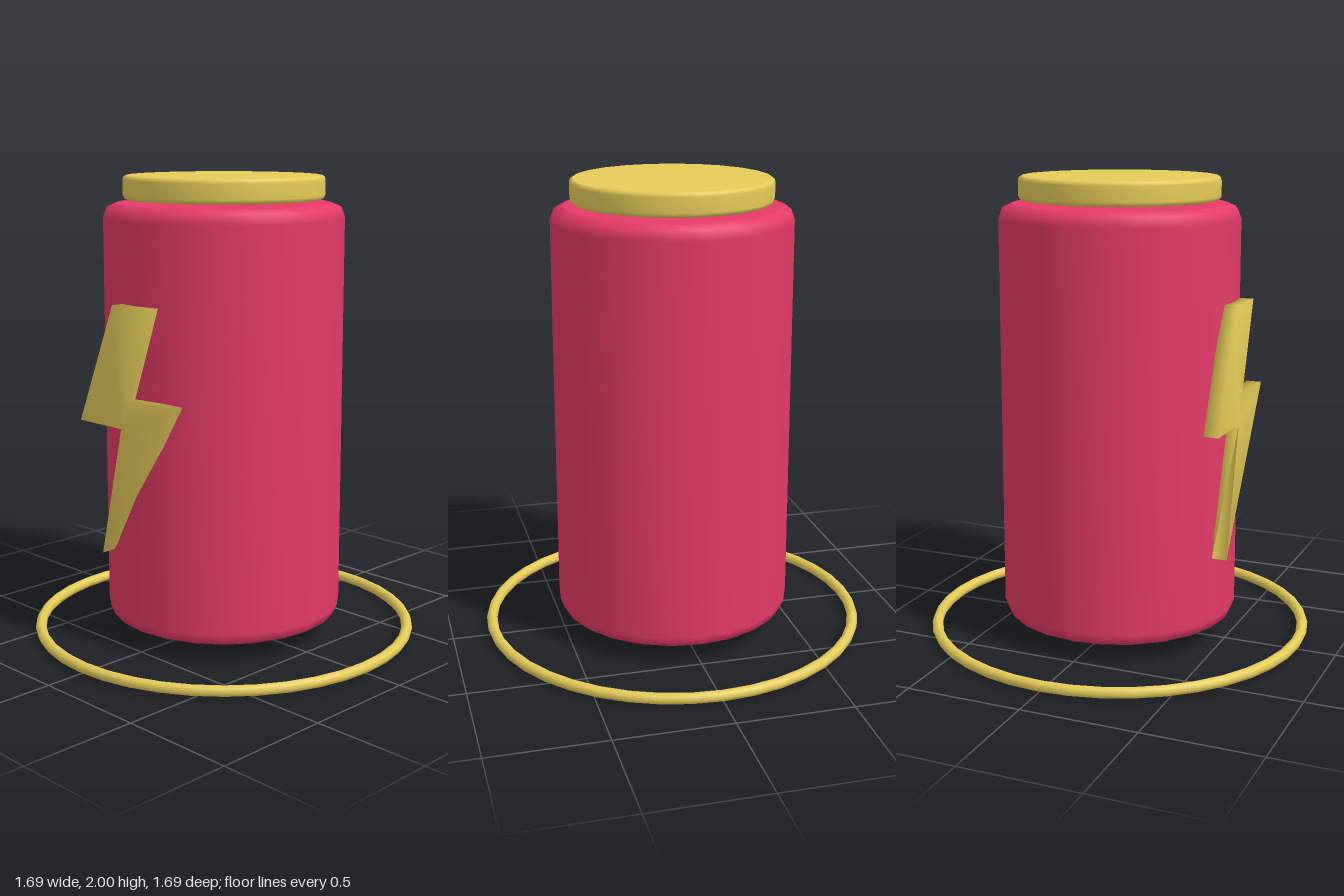
import * as THREE from 'three';
import { mergeVertices } from 'three/addons/utils/BufferGeometryUtils.js';

const red = new THREE.MeshStandardMaterial({ color: 0xe43a67 });
red.name = 'raspberry red';
const gold = new THREE.MeshStandardMaterial({ color: 0xe4cb58 });
gold.name = 'gold';

function part(name, geometry, material) {
  const mesh = new THREE.Mesh(geometry, material);
  mesh.name = name;
  return mesh;
}

// Closed cylinder with rounded rims; doubled points keep the flat caps crisp
function roundedCylinder(radius, bottom, top, bevelX, bevelY) {
  const steps = 2;
  const points = [[0, bottom], [radius - bevelX, bottom]];
  for (let i = 0; i <= steps; i++) {
    const a = (i / steps) * Math.PI / 2;
    points.push([radius - bevelX * (1 - Math.sin(a)), bottom + bevelY * (1 - Math.cos(a))]);
  }
  for (let i = 0; i <= steps; i++) {
    const a = (i / steps) * Math.PI / 2;
    points.push([radius - bevelX * (1 - Math.cos(a)), top - bevelY * (1 - Math.sin(a))]);
  }
  points.push([radius - bevelX, top], [0, top]);
  return new THREE.LatheGeometry(points.map(([x, y]) => new THREE.Vector2(x, y)), 24);
}

// Lightning bolt plate with softly blended normals
function boltGeometry() {
  const outline = [
    [-0.085, 1.49], [-0.3, 0.98], [-0.04, 0.98], [-0.17, 0.42],
    [0.26, 1.105], [0, 1.105], [0.125, 1.49],
  ];
  const shape = new THREE.Shape(outline.map(([x, y]) => new THREE.Vector2(x, y)));
  let geometry = new THREE.ExtrudeGeometry(shape, { depth: 0.065, bevelEnabled: false });
  geometry.deleteAttribute('normal');
  geometry.deleteAttribute('uv');
  geometry.clearGroups();
  geometry = mergeVertices(geometry);
  geometry.computeVertexNormals();
  return geometry.translate(0, 0, 0.495);
}

export function createModel() {
  const model = new THREE.Group();
  model.name = 'canister';

  model.add(part('body', roundedCylinder(0.515, 0.075, 1.885, 0.055, 0.06), red));
  model.add(part('lid', roundedCylinder(0.43, 1.9, 2, 0.014, 0.018), gold));
  model.add(part('lightningBolt', boltGeometry(), gold));

  // Thin hoop lying on the ground around the body
  const hoop = part('groundRing', new THREE.TorusGeometry(0.82, 0.024, 8, 40), gold);
  hoop.rotation.x = Math.PI / 2;
  hoop.position.y = 0.024;
  model.add(hoop);

  return model;
}
